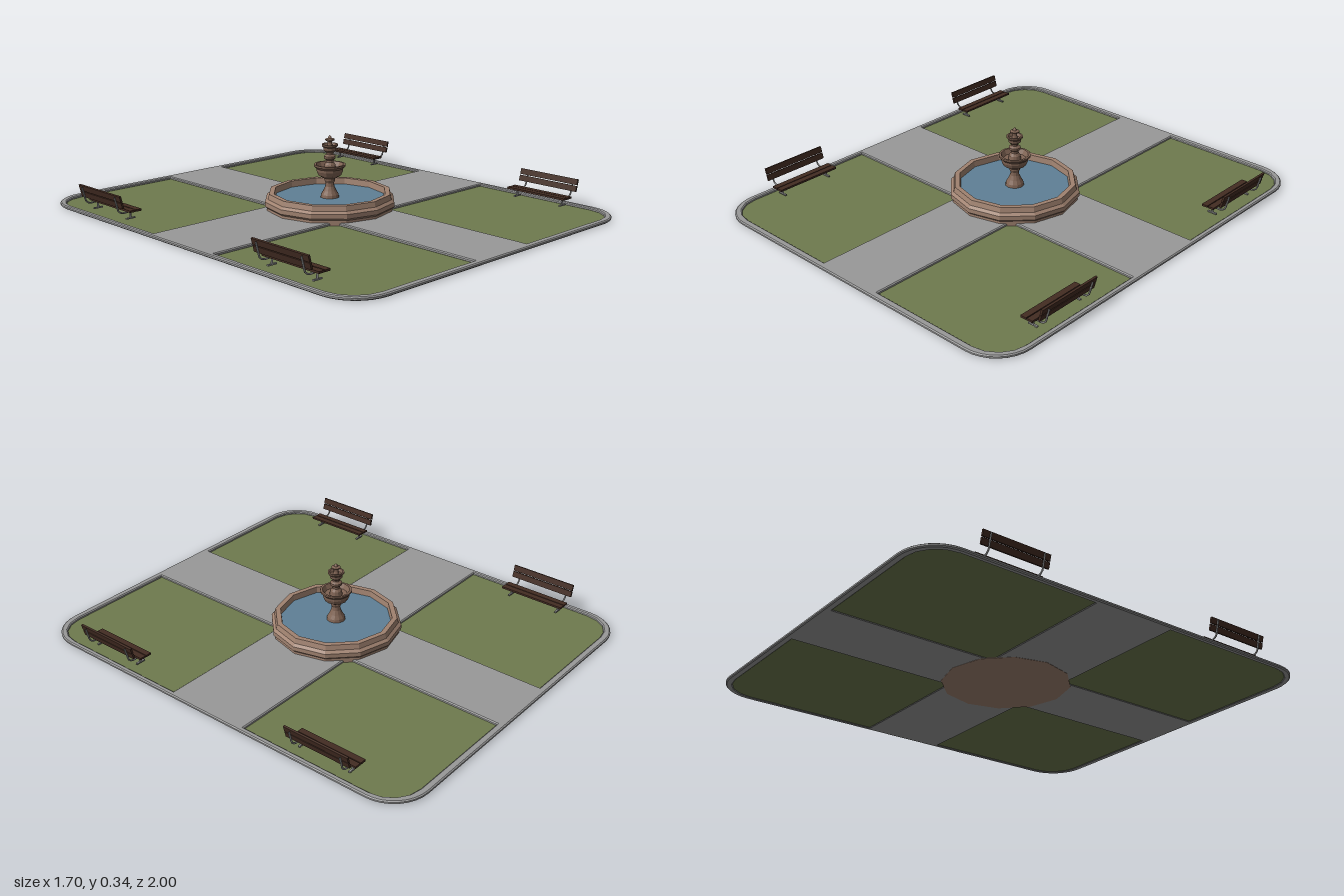
import * as THREE from 'three';

const mat = (color, opts = {}) => new THREE.MeshStandardMaterial({ color, ...opts });
const paving = mat(0x999999);
const grass = mat(0x6e7a4e, { side: THREE.DoubleSide });
const stone = mat(0xa08270, { flatShading: true });
const darkStone = mat(0x806454, { flatShading: true });
const water = mat(0x5f8096);
const wood = mat(0x432c22);
const metal = mat(0x8c8c8c);

function add(parent, name, geometry, material) {
  const mesh = new THREE.Mesh(geometry, material);
  mesh.name = name;
  parent.add(mesh);
  return mesh;
}

// Rectangle with rounded corners
function slabShape(w, d, r) {
  const s = new THREE.Shape();
  s.moveTo(w, -d + r).lineTo(w, d - r).absarc(w - r, d - r, r, 0, Math.PI / 2);
  s.absarc(-w + r, d - r, r, Math.PI / 2, Math.PI);
  s.absarc(-w + r, -d + r, r, Math.PI, Math.PI * 1.5);
  s.absarc(w - r, -d + r, r, Math.PI * 1.5, Math.PI * 2);
  return s;
}

// Lawn outline for one quadrant, rounded at its outer corner only
function lawnPoints(sx, sz, grow = 0) {
  const x0 = 0.165 - grow, z0 = 0.2 - grow, x1 = 0.825 + grow, z1 = 0.968 + grow, r = 0.14;
  const pts = [[x0, z0], [x1, z0]];
  for (let i = 0; i <= 4; i++) {
    const a = (i / 4) * Math.PI / 2;
    pts.push([x1 - r + r * Math.cos(a), z1 - r + r * Math.sin(a)]);
  }
  pts.push([x0, z1]);
  return pts.map(([x, z]) => new THREE.Vector2(x * sx, z * sz));
}

const lathe = (pts, sides) =>
  new THREE.LatheGeometry(pts.map(([r, y]) => new THREE.Vector2(r, y)), sides);

// Bench with its seat facing +x, its origin at the ground below the seat
function createBench() {
  const bench = new THREE.Group();
  bench.name = 'bench';
  for (const x of [0.008, 0.04]) {
    add(bench, 'seatSlat', new THREE.BoxGeometry(0.028, 0.009, 0.315), wood).position.set(x, 0.04, 0);
  }
  for (const [x, y] of [[-0.042, 0.073], [-0.05, 0.103]]) {
    const slat = add(bench, 'backSlat', new THREE.BoxGeometry(0.009, 0.027, 0.315), wood);
    slat.position.set(x, y, 0);
    slat.rotation.z = 0.26;
  }
  for (const z of [-0.125, 0.125]) {
    // Bent bar carrying the back and the seat
    const bar = new THREE.CatmullRomCurve3([
      [-0.062, 0.11], [-0.052, 0.073], [-0.042, 0.042], [-0.025, 0.032], [0.01, 0.033], [0.05, 0.034],
    ].map(([x, y]) => new THREE.Vector3(x, y, z)));
    add(bench, 'frameBar', new THREE.TubeGeometry(bar, 12, 0.004, 6), metal);
    add(bench, 'leg', new THREE.CylinderGeometry(0.004, 0.005, 0.034, 6), metal).position.set(0.018, 0.017, z);
    add(bench, 'foot', new THREE.BoxGeometry(0.045, 0.006, 0.009), metal).position.set(0.018, 0.003, z);
  }
  return bench;
}

export function createModel() {
  const model = new THREE.Group();
  model.name = 'fountainPlaza';
  const quadrants = [[1, 1], [-1, 1], [-1, -1], [1, -1]];

  // Paving with a raised cross and border around four sunken lawns
  const ground = slabShape(0.85, 1, 0.17);
  for (const [sx, sz] of quadrants) ground.holes.push(new THREE.Path(lawnPoints(sx, sz)));
  const groundGeo = new THREE.ExtrudeGeometry(ground, {
    depth: 0.007, curveSegments: 4, bevelThickness: 0.004, bevelSize: 0.005, bevelOffset: -0.005, bevelSegments: 1,
  });
  groundGeo.rotateX(-Math.PI / 2).translate(0, 0.005, 0);
  add(model, 'paving', groundGeo, paving);

  for (const [sx, sz] of quadrants) {
    const lawn = new THREE.ShapeGeometry(new THREE.Shape(lawnPoints(sx, sz, 0.004)));
    lawn.rotateX(-Math.PI / 2).translate(0, 0.004, 0);
    add(model, 'lawn', lawn, grass);
  }

  // Fountain
  const fountain = new THREE.Group();
  fountain.name = 'fountain';
  model.add(fountain);
  add(fountain, 'basin', lathe([
    [0, 0], [0.288, 0], [0.288, 0.027], [0.297, 0.036], [0.297, 0.056], [0.284, 0.067],
    [0.278, 0.09], [0.255, 0.09], [0.25, 0.05], [0, 0.05],
  ], 12), stone);
  const surface = add(fountain, 'water', new THREE.CircleGeometry(0.254, 12), water);
  surface.rotation.x = -Math.PI / 2;
  surface.position.y = 0.062;
  add(fountain, 'pedestal', lathe([
    [0.045, 0.05], [0.04, 0.075], [0.03, 0.092], [0.021, 0.112], [0.019, 0.128], [0.025, 0.14], [0.025, 0.15],
  ], 12), darkStone);
  add(fountain, 'lowerBowl', lathe([
    [0, 0.148], [0.03, 0.15], [0.052, 0.164], [0.06, 0.182], [0.061, 0.194], [0.072, 0.205],
    [0.072, 0.213], [0.062, 0.213], [0.05, 0.192], [0, 0.188],
  ], 12), darkStone);
  add(fountain, 'upperStem', lathe([
    [0.03, 0.188], [0.026, 0.21], [0.017, 0.222], [0.017, 0.232], [0.027, 0.24], [0.027, 0.25],
    [0.016, 0.258], [0.016, 0.27],
  ], 12), darkStone);
  add(fountain, 'upperBowl', lathe([
    [0, 0.264], [0.018, 0.266], [0.028, 0.276], [0.03, 0.29], [0.037, 0.297], [0.037, 0.304],
    [0.03, 0.304], [0.024, 0.292], [0, 0.29],
  ], 12), darkStone);
  add(fountain, 'finial', lathe([
    [0.014, 0.29], [0.01, 0.308], [0.011, 0.316], [0.021, 0.322], [0.021, 0.327], [0.009, 0.331],
    [0.007, 0.337], [0, 0.345],
  ], 12), darkStone);

  // Four benches along the sides, facing inward
  for (const [sx, sz] of quadrants) {
    const bench = createBench();
    bench.position.set(0.78 * sx, 0.016, sz > 0 ? 0.595 : -0.58);
    if (sx > 0) bench.rotation.y = Math.PI;
    model.add(bench);
  }
  return model;
}
